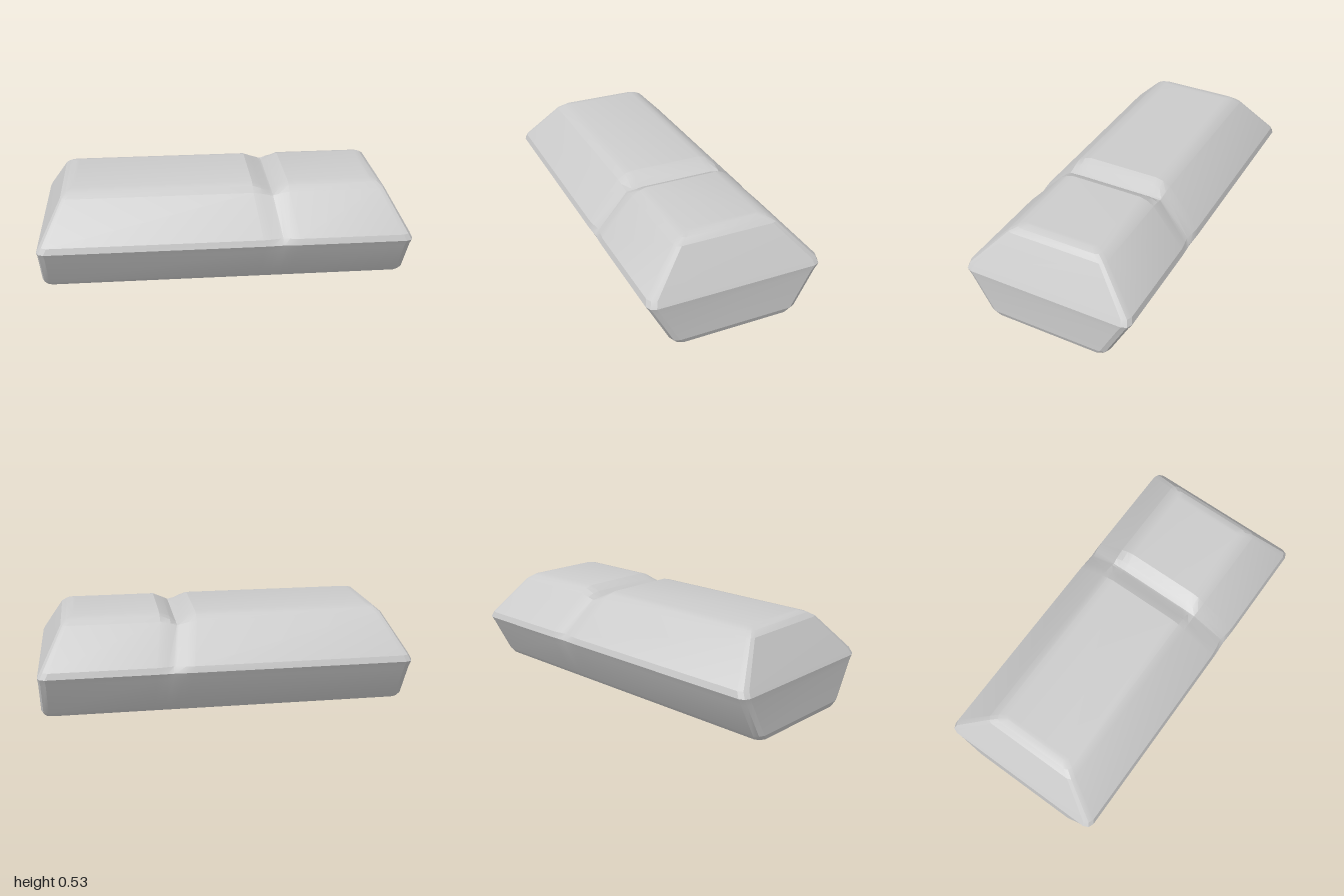
import * as THREE from 'three';
import { toCreasedNormals } from 'three/addons/utils/BufferGeometryUtils.js';

// Levels from bottom to top: [y, half length, half depth, corner cut, groove drop, groove inset]
const LEVELS = [
  [0.000, 0.955, 0.290, 0.03, 0, 0],
  [0.015, 0.985, 0.325, 0.04, 0, 0],
  [0.045, 0.997, 0.350, 0.04, 0, 0],
  [0.235, 0.997, 0.452, 0.04, 0, 0],
  [0.272, 1.000, 0.474, 0.04, 0, 0.004],
  [0.305, 0.983, 0.464, 0.04, 0, 0.014],
  [0.498, 0.873, 0.280, 0.03, 0.022, 0.005],
  [0.522, 0.845, 0.240, 0.03, 0.045, 0],
  [0.532, 0.810, 0.200, 0.02, 0.053, 0],
];

// Groove cross-section: [x, share of full depth]
const GROOVE = [[0.155, 0], [0.20, 0.35], [0.25, 0.93], [0.262, 1], [0.295, 0.5], [0.35, 0]];

// Front half of one level, running from the -x end to the +x end
function frontEdge([y, hx, hz, c, drop, inset]) {
  const corner = [[hx - c, hz], [hx - 0.3 * c, hz - 0.3 * c], [hx, hz - c]];
  // the groove leans a little towards +x as it runs down the slope
  const lean = 0.04 * THREE.MathUtils.clamp((0.48 - y) / 0.2, 0, 1);
  return [
    ...corner.map(([x, z]) => [-x, y, z]).reverse(),
    ...GROOVE.map(([x, w]) => [x + lean, y - drop * w, hz - inset * w]),
    ...corner.map(([x, z]) => [x, y, z]),
  ];
}

function bodyGeometry() {
  const positions = [];
  const index = [];
  const quad = (a, b, c, d) => index.push(a, b, c, a, c, d);
  const half = GROOVE.length + 6;
  const count = half * 2;

  // Each ring is the front edge followed by its mirrored back edge
  for (const level of LEVELS) {
    const front = frontEdge(level);
    const back = front.map(([x, y, z]) => [x, y, -z]).reverse();
    for (const p of [...front, ...back]) positions.push(...p);
  }

  // Walls between neighbouring rings
  for (let k = 0; k < LEVELS.length - 1; k++) {
    for (let i = 0; i < count; i++) {
      const j = (i + 1) % count;
      quad(k * count + i, k * count + j, (k + 1) * count + j, (k + 1) * count + i);
    }
  }

  // Top and underside, as strips from front to back
  const top = (LEVELS.length - 1) * count;
  for (let i = 0; i < half - 1; i++) {
    const j = count - 1 - i;
    quad(top + i, top + i + 1, top + j - 1, top + j);
    quad(j, j - 1, i + 1, i);
  }

  const geometry = new THREE.BufferGeometry();
  geometry.setAttribute('position', new THREE.Float32BufferAttribute(positions, 3));
  geometry.setIndex(index);
  return toCreasedNormals(geometry, 0.3);
}

export function createModel() {
  const group = new THREE.Group();
  group.name = 'groovedBlock';
  const body = new THREE.Mesh(bodyGeometry(), new THREE.MeshStandardMaterial({ color: 0xcccccc }));
  body.name = 'body';
  group.add(body);
  return group;
}
